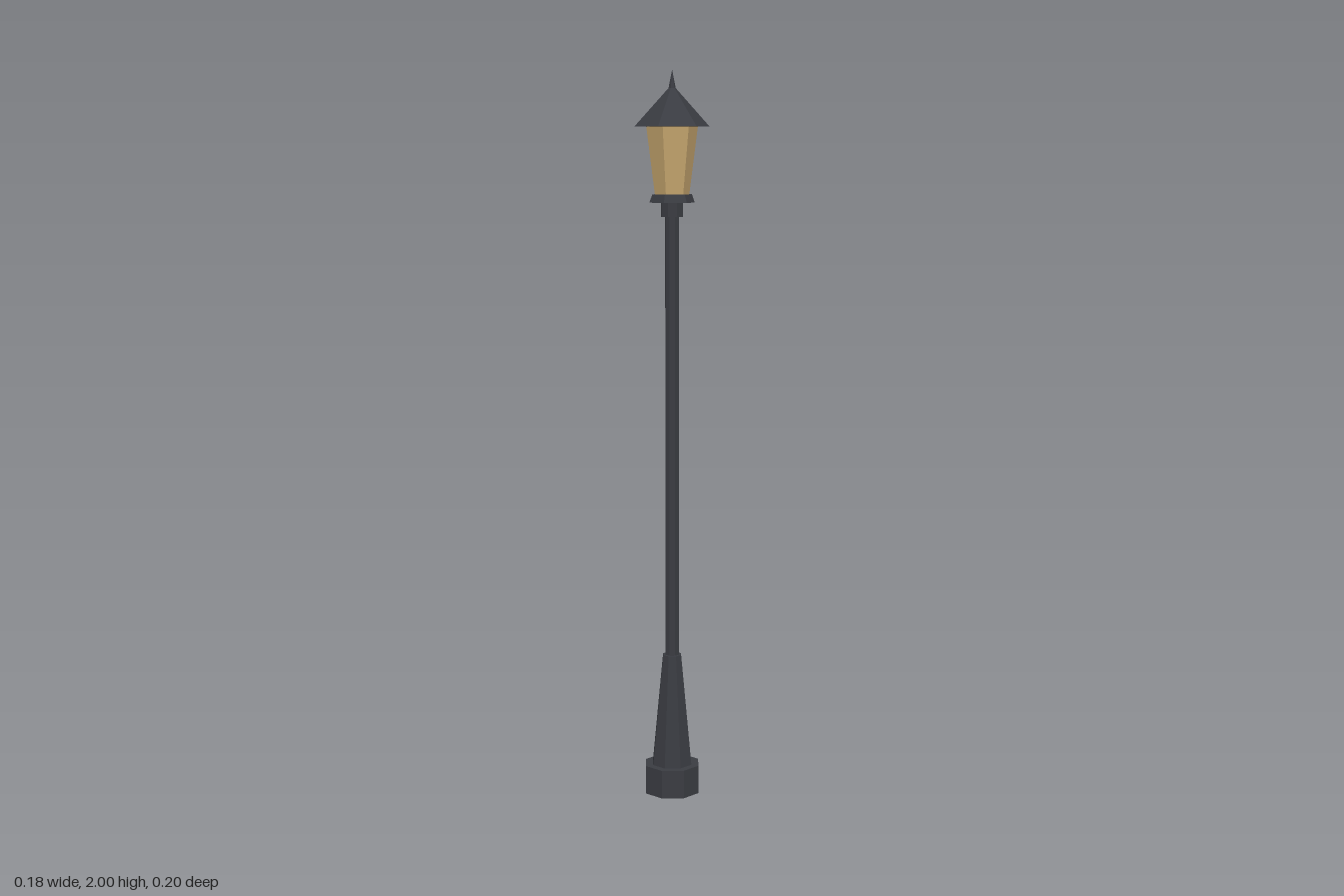
import * as THREE from 'three';

export function createModel() {
  const model = new THREE.Group();
  model.name = 'streetLamp';

  const metal = new THREE.MeshStandardMaterial({ color: 0x3a3c42, flatShading: true });
  const glass = new THREE.MeshStandardMaterial({ color: 0xc8a870, flatShading: true });

  // Faceted, optionally tapered section between two heights
  function section(name, sides, y0, y1, r0, r1, material = metal) {
    const geometry = r1 === 0
      ? new THREE.ConeGeometry(r0, y1 - y0, sides)
      : new THREE.CylinderGeometry(r1, r0, y1 - y0, sides);
    const mesh = new THREE.Mesh(geometry, material);
    mesh.name = name;
    mesh.position.y = (y0 + y1) / 2;
    model.add(mesh);
  }

  // Octagonal post
  section('base', 8, 0, 0.08, 0.08, 0.08);
  section('taperedFoot', 8, 0.08, 0.395, 0.058, 0.027);
  section('pole', 8, 0.395, 1.61, 0.02, 0.02);
  section('collar', 8, 1.61, 1.648, 0.032, 0.032);

  // Hexagonal lantern
  section('lanternSeat', 6, 1.648, 1.67, 0.062, 0.054);
  section('lanternGlass', 6, 1.67, 1.85, 0.047, 0.07, glass);
  section('roof', 6, 1.85, 1.962, 0.102, 0);
  section('finial', 6, 1.94, 2, 0.012, 0);

  return model;
}
